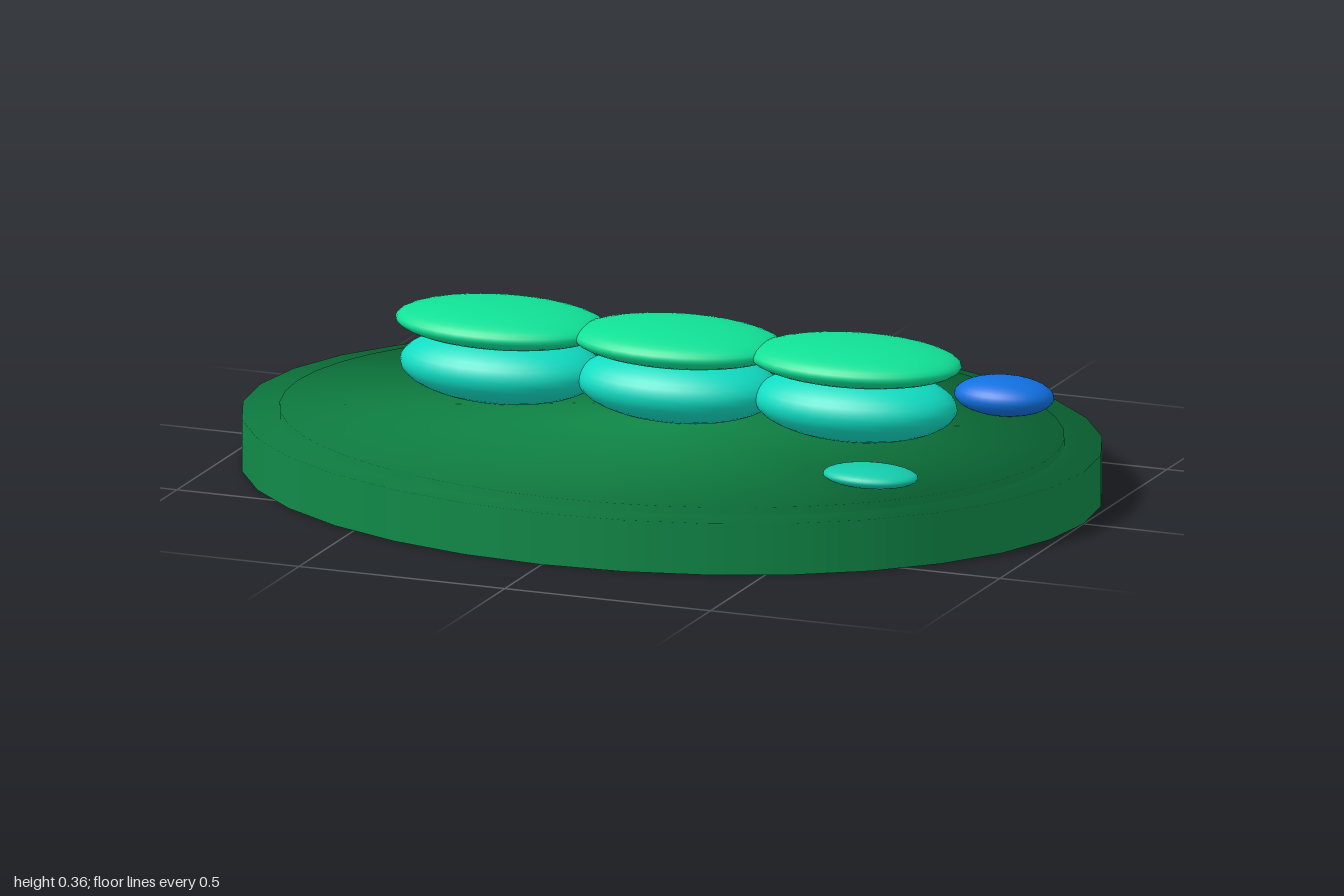
import * as THREE from 'three';

const mat = (name, color) => {
  const m = new THREE.MeshStandardMaterial({ color });
  m.name = name;
  return m;
};

// Oval slab whose normals roll softly from the cap centres out to the rim
function ovalSlab(rx, rz, y0, y1, segments) {
  const geo = new THREE.CylinderGeometry(1, 1, y1 - y0, segments);
  geo.scale(rx, 1, rz);
  geo.translate(0, (y0 + y1) / 2, 0);
  const { position, normal } = geo.attributes;
  const n = new THREE.Vector3();
  for (let i = 0; i < position.count; i++) {
    n.set(position.getX(i) / (rx * rx), 0, position.getZ(i) / (rz * rz));
    if (n.length() < 0.01) continue; // cap centres keep their vertical normal
    n.normalize();
    normal.setXYZ(i, n.x, n.y, n.z);
  }
  return geo;
}

export function createModel() {
  const model = new THREE.Group();
  model.name = 'platter';

  const plateGreen = mat('plate green', 0x108a48);
  const mintGreen = mat('mint green', 0x10e096);
  const turquoise = mat('turquoise', 0x10dcc2);
  const seaGreen = mat('sea green', 0x14ccac);
  const blue = mat('blue', 0x1070e0);

  const add = (name, geometry, material, parent = model) => {
    const mesh = new THREE.Mesh(geometry, material);
    mesh.name = name;
    parent.add(mesh);
    return mesh;
  };

  const ball = new THREE.SphereGeometry(1, 32, 20);
  const pebble = (name, material, centre, radii, parent) => {
    const mesh = add(name, ball, material, parent);
    mesh.position.set(...centre);
    mesh.scale.set(...radii);
  };

  // Oval plate with a slightly raised inner surface
  add('plate', ovalSlab(1, 0.78, 0, 0.12, 32), plateGreen);
  add('plateInset', ovalSlab(0.91, 0.71, 0.1, 0.138, 48), plateGreen);

  // Row of three two-layer pieces
  [-0.43, 0, 0.43].forEach((x, i) => {
    const piece = new THREE.Group();
    piece.name = `piece${i + 1}`;
    pebble('lowerLayer', turquoise, [x, 0.213, -0.04], [0.24, 0.082, 0.154], piece);
    pebble('upperLayer', mintGreen, [x, 0.313, -0.04], [0.25, 0.047, 0.166], piece);
    model.add(piece);
  });

  // Side garnishes
  pebble('blueGarnish', blue, [0.667, 0.178, -0.345], [0.117, 0.044, 0.082]);
  pebble('flatGarnish', seaGreen, [0.62, 0.16, 0.338], [0.112, 0.024, 0.075]);

  return model;
}
